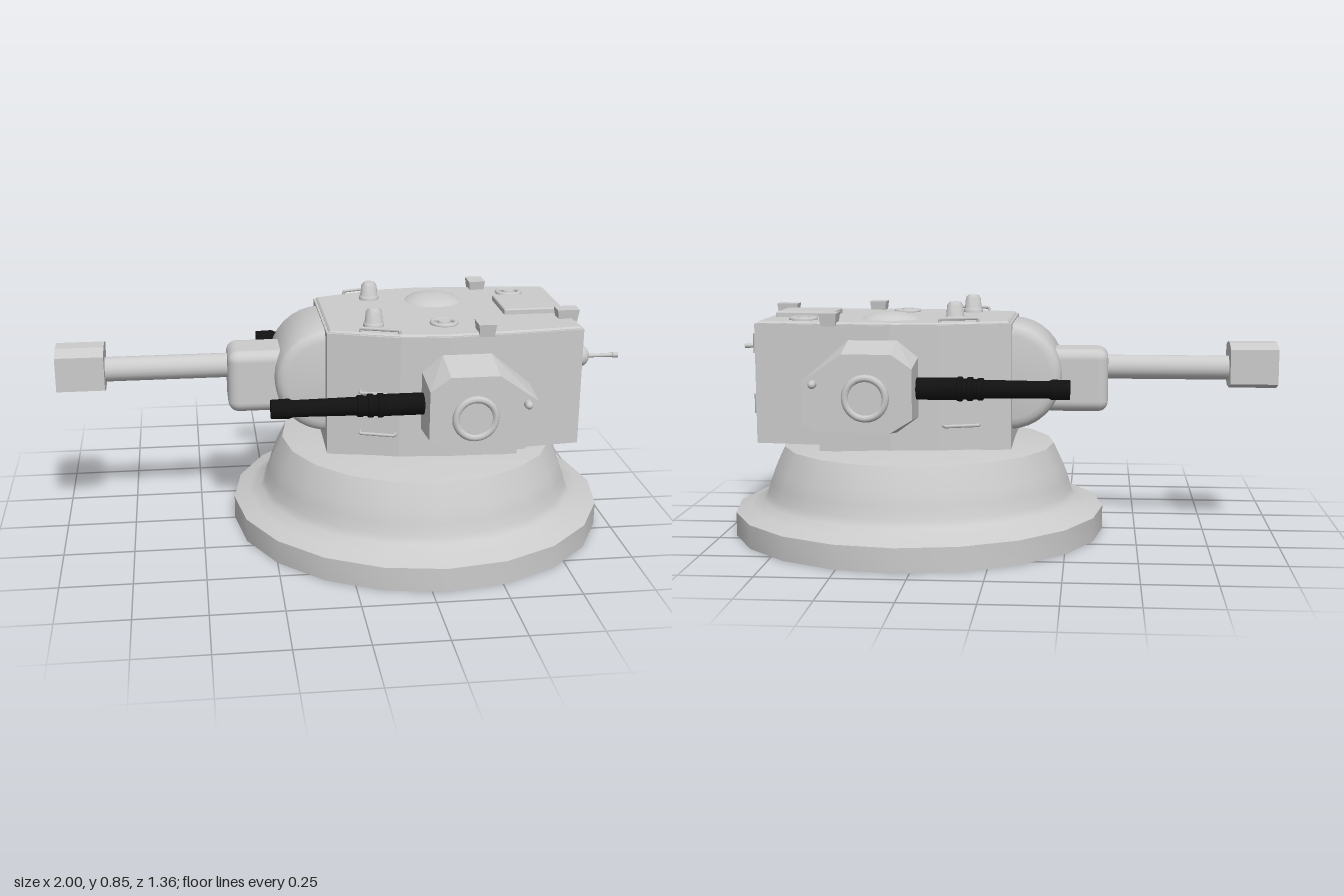
import * as THREE from 'three';
import { toCreasedNormals } from 'three/addons/utils/BufferGeometryUtils.js';
import { RoundedBoxGeometry } from 'three/addons/geometries/RoundedBoxGeometry.js';
import { ConvexGeometry } from 'three/addons/geometries/ConvexGeometry.js';

const grey = new THREE.MeshStandardMaterial({ color: 0xcccccc });
const greyThin = new THREE.MeshStandardMaterial({ color: 0xcccccc, side: THREE.DoubleSide });
const black = new THREE.MeshStandardMaterial({ color: 0x111111 });
const v2 = ([x, y]) => new THREE.Vector2(x, y);
const v3 = (p) => new THREE.Vector3(...p);

export function createModel() {
  const model = new THREE.Group();
  const turret = new THREE.Group();
  turret.name = 'turret';
  turret.position.z = -0.004;
  model.add(turret);

  const add = (name, geo, pos = [0, 0, 0], rot = [0, 0, 0], mat = grey, parent = turret) => {
    const m = new THREE.Mesh(geo, mat);
    m.name = name;
    m.position.set(...pos);
    m.rotation.set(...rot);
    parent.add(m);
  };
  const rbox = (name, size, r, pos) => add(name, new RoundedBoxGeometry(...size, 3, r), pos);
  const lathe = (pts, n, crease = 0.7) => toCreasedNormals(new THREE.LatheGeometry(pts.map(v2), n), crease);
  const cyl = (r0, r1, h, n = 16) => new THREE.CylinderGeometry(r0, r1, h, n);
  const tube = (pts, r) => {
    const path = new THREE.CurvePath();
    for (let i = 1; i < pts.length; i++) path.add(new THREE.LineCurve3(v3(pts[i - 1]), v3(pts[i])));
    return new THREE.TubeGeometry(path, 24, r, 6);
  };
  // Prism over a plan given as [x, half width] pairs, mirrored across z
  const prism = (name, half, y0, y1, bevel = 0) => {
    const plan = [...half, ...half.slice().reverse().map(([x, z]) => [x, -z])];
    const geo = new THREE.ExtrudeGeometry(new THREE.Shape(plan.map(v2)), {
      depth: y1 - y0 - bevel, bevelEnabled: bevel > 0, bevelSize: bevel,
      bevelThickness: bevel, bevelOffset: -bevel, bevelSegments: 1,
    });
    add(name, geo.rotateX(-Math.PI / 2), [0, y0, 0]);
  };

  // Hollow flared base with the turret ring reaching down inside
  add('base', lathe([[0.68, 0], [0.68, 0.085], [0.625, 0.105], [0.58, 0.125], [0.565, 0.15], [0.554, 0.19],
    [0.536, 0.24], [0.498, 0.32], [0.42, 0.333], [0.315, 0.345]], 20, 0.88), [0.3, 0, 0], [0, 0, 0], greyThin, model);
  add('turretRing', cyl(0.322, 0.318, 0.075, 32), [0.3, 0.3, 0], [0, 0, 0], grey, model);

  // Hull, rear overhang and roof plate
  const front = [[-0.055, 0.228], [0.19, 0.31], [0.36, 0.325], [0.615, 0.306]];
  const rear = [[0.615, 0.306], [0.842, 0.282]];
  prism('hull', front, 0.335, 0.78);
  prism('rearHull', rear, 0.357, 0.78);
  prism('roof', [...front, rear[1]].map(([x, z]) => [x + (x < 0.3 ? 0.008 : -0.008), z - 0.008]), 0.772, 0.788, 0.006);
  const wedge = [0.115, -0.115].flatMap((z) => [[0.61, 0.36], [0.61, 0.333], [0.66, 0.333], [0.755, 0.36]].map(([x, y]) => v3([x, y, z])));
  add('rearWedge', new ConvexGeometry(wedge));

  // Mantlet: rounded drum lying across the front
  add('mantlet', lathe([[0, -0.182], [0.15, -0.182], [0.168, -0.178], [0.182, -0.168], [0.19, -0.15],
    [0.19, 0.15], [0.182, 0.168], [0.168, 0.178], [0.15, 0.182], [0, 0.182]], 32), [-0.04, 0.585, 0], [Math.PI / 2, 0, 0]);

  // Main gun with an eight-sided hollow muzzle
  rbox('gunCollar', [0.24, 0.228, 0.194], 0.038, [-0.275, 0.563, 0]);
  add('mainBarrel', cyl(0.044, 0.044, 0.5, 20), [-0.62, 0.605, 0], [0, 0, Math.PI / 2]);
  const muzzle = new THREE.Shape([[-0.092, -0.062], [-0.035, -0.081], [0.035, -0.081], [0.092, -0.062],
    [0.092, 0.062], [0.035, 0.081], [-0.035, 0.081], [-0.092, 0.062]].map(v2));
  const backPlate = muzzle.clone();
  muzzle.holes.push(new THREE.Path([[-0.055, -0.052], [-0.055, 0.052], [0.055, 0.052], [0.055, -0.052]].map(v2)));
  add('muzzle', new THREE.ExtrudeGeometry(muzzle, { depth: 0.15, bevelEnabled: false }), [-1, 0.618, 0], [0, Math.PI / 2, 0]);
  add('muzzleBack', new THREE.ExtrudeGeometry(backPlate, { depth: 0.02, bevelEnabled: false }), [-0.85, 0.618, 0], [0, Math.PI / 2, 0]);

  // Side gun housings: inner outline shrinking to an outer face
  const outline = [[0.255, 0.675], [0.325, 0.733], [0.495, 0.733], [0.632, 0.62],
    [0.632, 0.45], [0.585, 0.415], [0.33, 0.415], [0.255, 0.47]];
  const gunProfile = [[0, 0], [0.038, 0], [0.038, 0.14], [0.042, 0.145], [0.042, 0.16], [0.036, 0.163],
    [0.036, 0.175], [0.041, 0.178], [0.041, 0.195], [0.035, 0.198], [0.035, 0.21], [0.038, 0.213],
    [0.038, 0.23], [0.032, 0.235], [0.029, 0.45], [0.035, 0.465], [0.033, 0.525], [0.02, 0.525], [0.02, 0.49], [0, 0.49]];
  for (const s of [1, -1]) {
    const side = s > 0 ? 'front' : 'back';
    const pts = outline.flatMap(([x, y]) => [
      v3([x, y, 0.37 * s]),
      v3([0.44 + (x - 0.44) * 0.985, 0.54 + (y - 0.54) * 0.83, 0.515 * s])]);
    add(side + 'Housing', new ConvexGeometry(pts));
    add(side + 'Trunnion', cyl(0.134, 0.134, 0.12, 16), [0.414, 0.575, 0.33 * s], [Math.PI / 2, 0, 0]);
    add(side + 'PortRing', new THREE.TorusGeometry(0.068, 0.013, 8, 28), [0.415, 0.553, 0.515 * s]);
    add(side + 'PortGlass', cyl(0.058, 0.058, 0.012, 28), [0.415, 0.553, 0.513 * s], [Math.PI / 2, 0, 0]);
    add(side + 'HousingPin', new THREE.CapsuleGeometry(0.014, 0.03, 4, 10), [0.59, 0.6, 0.518 * s], [Math.PI / 2, 0, 0]);
    add(side + 'SideGun', lathe(gunProfile, 14, 0.5), [0.26, 0.573, 0.4 * s], [0, 0, Math.PI / 2], black);

    // Grab handles on the slanted cheeks and a rail along the roof edge
    for (const y of [0.43, 0.58]) {
      add(side + 'GrabHandle', tube([[0.06, y, 0.262 * s], [0.053, y, 0.288 * s],
        [0.17, y, 0.327 * s], [0.178, y, 0.302 * s]], 0.006));
    }
    add(side + 'RoofRail', tube([[0.06, 0.78, 0.244 * s], [0.06, 0.8, 0.244 * s],
      [0.19, 0.8, 0.286 * s], [0.19, 0.78, 0.286 * s]], 0.006));
  }

  // Roof fittings
  add('roofDome', lathe([[0.107, 0], [0.09, 0.012], [0.06, 0.021], [0.03, 0.026], [0, 0.027]], 32), [0.38, 0.786, -0.132]);
  for (const [x, z] of [[0.147, -0.174], [0.115, 0.178]]) {
    add('roofKnob', lathe([[0.037, 0], [0.036, 0.012], [0.032, 0.016], [0.028, 0.054], [0.02, 0.065], [0, 0.067]], 18), [x, 0.787, z]);
  }
  for (const [x, z] of [[0.365, 0.178], [0.685, -0.197]]) {
    add('roofPortRing', new THREE.TorusGeometry(0.042, 0.009, 8, 24), [x, 0.79, z], [Math.PI / 2, 0, 0]);
    add('roofPortCap', cyl(0.022, 0.026, 0.014), [x, 0.793, z]);
  }
  rbox('roofHatch', [0.205, 0.026, 0.2], 0.006, [0.703, 0.795, -0.004]);
  // Periscopes flare towards the top
  for (const [x, z, w, d] of [[0.575, -0.286, 0.062, 0.08], [0.49, 0.284, 0.062, 0.08], [0.815, 0.147, 0.08, 0.058]]) {
    const flared = toCreasedNormals(cyl(0.707, 0.58, 0.045, 4).rotateY(Math.PI / 4).scale(w, 1, d), 0.4);
    add('periscope', flared, [x, 0.798, z]);
  }

  // Rear door with hinges, bolts, knob and handle
  rbox('rearDoor', [0.03, 0.29, 0.27], 0.006, [0.85, 0.594, 0.004]);
  for (const y of [0.7, 0.482]) {
    rbox('hinge', [0.035, 0.03, 0.06], 0.003, [0.853, y, -0.144]);
    add('hingePin', cyl(0.011, 0.011, 0.07, 10), [0.865, y, -0.17]);
  }
  for (const [y, z] of [[0.72, 0.09], [0.72, -0.085], [0.47, 0.09], [0.47, -0.085], [0.69, -0.118], [0.505, -0.118]]) {
    add('doorBolt', cyl(0.019, 0.019, 0.014, 12), [0.866, y, z], [0, 0, Math.PI / 2]);
  }
  add('doorKnob', new THREE.SphereGeometry(0.019, 14, 10), [0.868, 0.592, 0.004]);
  add('doorHandle', tube([[0.86, 0.615, 0.083], [0.875, 0.615, 0.098], [0.875, 0.568, 0.098], [0.86, 0.568, 0.083]], 0.005));

  // Rear ball mount with a thin gun
  add('ballMountRing', cyl(0.05, 0.06, 0.014, 24), [0.846, 0.655, 0.193], [0, 0, -Math.PI / 2]);
  add('ballMount', new THREE.SphereGeometry(0.04, 20, 14), [0.852, 0.655, 0.193]);
  add('rearGun', cyl(0.006, 0.008, 0.12, 10), [0.935, 0.652, 0.188], [0, 0, Math.PI / 2]);
  add('rearGunTip', cyl(0.01, 0.01, 0.02, 10), [0.99, 0.652, 0.188], [0, 0, Math.PI / 2]);

  return model;
}
